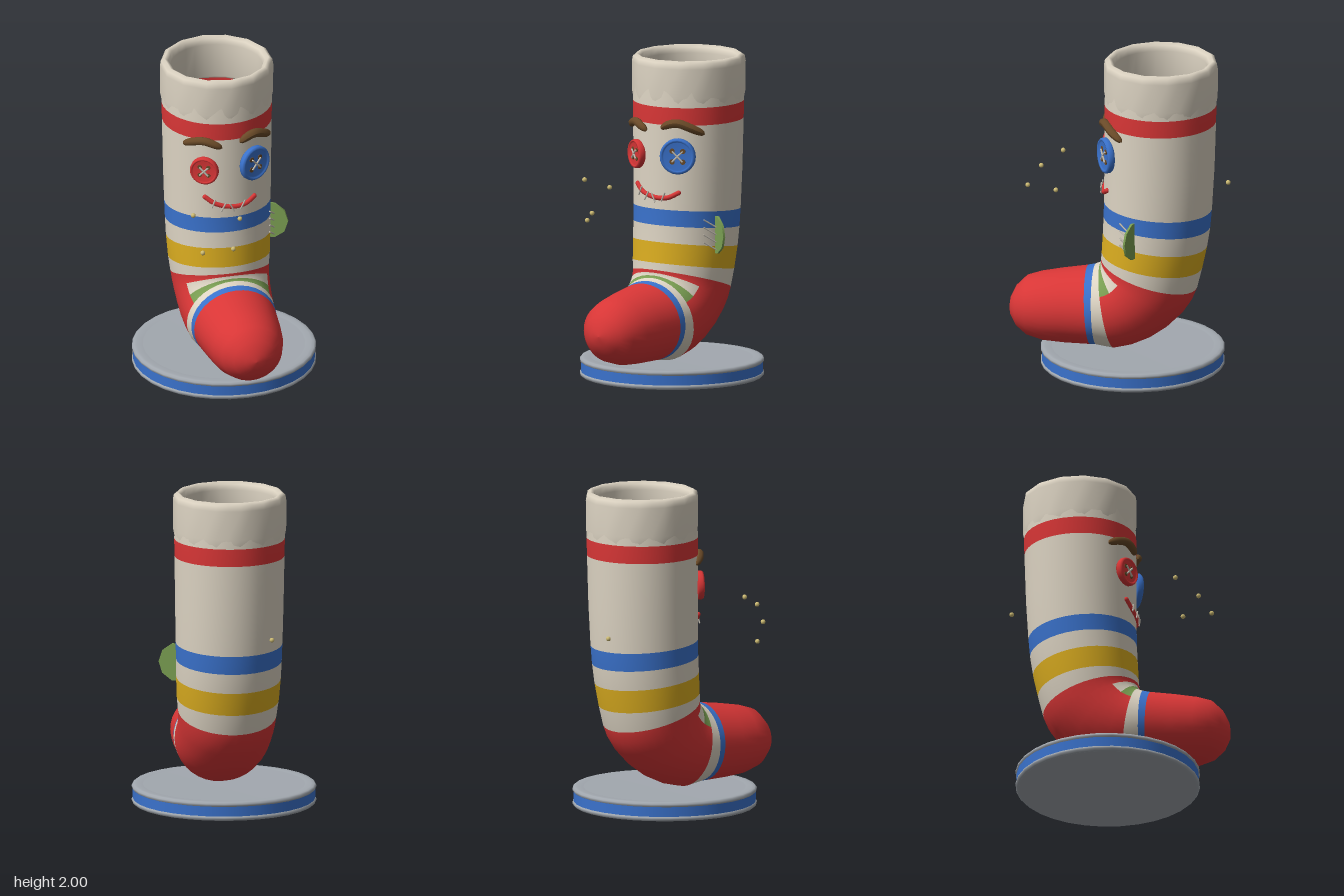
import * as THREE from 'three';

const mat = (name, color, side = THREE.FrontSide) => {
  const m = new THREE.MeshStandardMaterial({ color, side });
  m.name = name;
  return m;
};

export function createModel() {
  const root = new THREE.Group();
  root.name = 'sockPuppet';
  const D = THREE.DoubleSide;
  const cream = mat('cream', 0xddd4c3, D), red = mat('red', 0xd83636, D), blue = mat('blue', 0x3a72cc, D);
  const yellow = mat('yellow', 0xdcae20, D), green = mat('green', 0x7a9e52, D);
  const brown = mat('brown', 0x6a4a28), grey = mat('grey', 0xa2a8af);
  const thread = mat('thread', 0xc4beb2), gold = mat('gold', 0xcdbb74);
  const knit = [cream, red, blue, yellow, green];

  const add = (name, geo, material, parent = root) => {
    const m = new THREE.Mesh(geo, material);
    m.name = name;
    parent.add(m);
    return m;
  };
  const V = (x, y, z) => new THREE.Vector3(x, y, z);

  // Skin over rings [frontZ, frontY, backZ, backY, halfWidth, colour of the band below]
  function loft(rings, segs, pick, bump = () => 1) {
    const pos = [], faces = knit.map(() => []);
    rings.forEach(([fz, fy, bz, by, w], i) => {
      for (let j = 0; j < segs; j++) {
        const t = (j / segs) * Math.PI * 2, k = bump(i, t), c = Math.cos(t) * k;
        pos.push(Math.sin(t) * w * k, (fy + by) / 2 + c * (fy - by) / 2, (fz + bz) / 2 + c * (fz - bz) / 2);
      }
    });
    for (let i = 0; i < rings.length - 1; i++) {
      for (let j = 0; j < segs; j++) {
        const n = (j + 1) % segs, a = i * segs + j, b = i * segs + n;
        faces[pick(i, (j + 0.5) / segs)].push(a, a + segs, b, b, a + segs, b + segs);
      }
    }
    const g = new THREE.BufferGeometry();
    g.setAttribute('position', new THREE.Float32BufferAttribute(pos, 3));
    g.setIndex(faces.flat());
    let start = 0;
    faces.forEach((f, m) => {
      if (f.length) g.addGroup(start, f.length, m);
      start += f.length;
    });
    g.computeVertexNormals();
    return g;
  }

  // Sock leg, ankle bend and foot; rows flagged 1 at the end turn red around the heel
  const C = 0, R = 1, B = 2, Y = 3, G = 4;
  const rings = [
    [0.075, 1.9, -0.605, 1.9, 0.335, C],
    [0.085, 1.71, -0.61, 1.71, 0.342, R],
    [0.085, 1.6, -0.607, 1.6, 0.34, C],
    [0.085, 1.3, -0.597, 1.28, 0.335, C],
    [0.088, 1.07, -0.582, 1.025, 0.33, B],
    [0.09, 0.97, -0.572, 0.91, 0.327, C],
    [0.095, 0.865, -0.553, 0.785, 0.324, Y],
    [0.102, 0.735, -0.522, 0.64, 0.316, C],
    [0.106, 0.69, -0.49, 0.51, 0.306, R],
    [0.106, 0.68, -0.46, 0.435, 0.302, R],
    [0.105, 0.672, -0.41, 0.36, 0.298, C, 1],
    [0.106, 0.664, -0.31, 0.26, 0.294, C, 1],
    [0.108, 0.655, -0.21, 0.19, 0.29, G, 1],
    [0.111, 0.648, -0.1, 0.14, 0.285, G, 1],
    [0.115, 0.64, 0.016, 0.112, 0.28, C],
    [0.15, 0.625, 0.127, 0.13, 0.272, B],
    [0.197, 0.615, 0.164, 0.13, 0.265, R],
    [0.35, 0.592, 0.33, 0.133, 0.247, R],
    [0.48, 0.568, 0.46, 0.142, 0.226, R],
    [0.57, 0.54, 0.565, 0.172, 0.193, R],
    [0.635, 0.475, 0.63, 0.225, 0.135, R],
    [0.668, 0.405, 0.667, 0.29, 0.068, R],
    [0.677, 0.347, 0.677, 0.347, 0, R],
  ];
  const heel = (i, u) => (rings[i][6] && u > 1 / 6 && u < 5 / 6 ? R : rings[i][5]);
  add('sock', loft(rings, 36, heel), knit);

  // Thick scalloped cuff, from the inner wall over the rim to the outer wall
  const cuff = [[1.7, 0.33], [1.73, 0.288], [1.95, 0.285], [1.985, 0.295], [2, 0.318],
    [1.985, 0.34], [1.95, 0.346], [1.77, 0.345], [1.71, 0.337]]
    .map(([y, r]) => [-0.265 + r * 1.01, y, -0.265 - r * 1.01, y, r]);
  const scallop = (i, t) => 1 + (i > 2 && i < 8 ? 0.014 : 0.003) * Math.cos(14 * t);
  add('cuff', loft(cuff, 28, () => C, scallop), knit);

  // Round base with two rims and a blue band
  const base = new THREE.Group();
  base.name = 'base';
  base.position.z = -0.09;
  root.add(base);
  const turn = (pts, n = 32) => new THREE.LatheGeometry(pts.map(p => new THREE.Vector2(...p)), n);
  const rim = y => [[0.54, y], [0.56, y], [0.57, y + 0.01], [0.57, y + 0.022], [0.56, y + 0.032], [0.54, y + 0.032]];
  add('lowerRim', turn(rim(0.005)), grey, base);
  add('upperRim', turn([...rim(0.09), [0.505, 0.122], [0.5, 0.118], [0, 0.118]]), grey, base);
  add('underside', turn([[0, 0.003], [0.55, 0.003], [0.55, 0.02]]), grey, base);
  add('blueBand', new THREE.CylinderGeometry(0.564, 0.564, 0.062, 32, 1, true), blue, base).position.y = 0.064;

  // Front of the leg at a given x
  const surf = x => -0.256 + 0.342 * Math.sqrt(1 - (x / 0.337) ** 2);
  const curve = (pts, lift) => new THREE.CatmullRomCurve3(pts.map(([x, y]) => V(x, y, surf(x) + lift)));
  const rod = (name, a, b, r, material, parent) => {
    const m = add(name, new THREE.CylinderGeometry(r, r, a.distanceTo(b), 6), material, parent);
    m.position.copy(a).add(b).multiplyScalar(0.5);
    m.quaternion.setFromUnitVectors(V(0, 1, 0), b.clone().sub(a).normalize());
    return m;
  };

  // Button eyes with four holes and a crossed thread
  function button(name, x, y, r, material) {
    const g = new THREE.Group();
    g.name = name;
    g.position.set(x, y, surf(x));
    g.rotation.y = Math.asin(x / 0.34);
    root.add(g);
    const disc = turn([[0, -0.012], [r * 0.92, -0.012], [r, 0], [r, 0.022], [r * 0.93, 0.033],
      [r * 0.83, 0.031], [r * 0.78, 0.022], [0, 0.022]], 24);
    add('disc', disc.rotateX(Math.PI / 2), material, g);
    const h = r * 0.3;
    for (const sx of [-1, 1]) {
      for (const sy of [-1, 1]) {
        const hole = add('hole', new THREE.CylinderGeometry(r * 0.15, r * 0.15, 0.006, 10), brown, g);
        hole.rotation.x = Math.PI / 2;
        hole.position.set(sx * h, sy * h, 0.023);
      }
      rod('crossStitch', V(-h, -h * sx, 0.031), V(h, h * sx, 0.031), 0.006, thread, g);
    }
  }
  button('rightEye', -0.16, 1.395, 0.09, red);
  button('leftEye', 0.15, 1.41, 0.112, blue);

  // Eyebrows: arched tubes tapering to rounded ends
  function brow(name, pts, r) {
    const c = curve(pts, 0.012), n = 24, g = new THREE.TubeGeometry(c, n, r, 10);
    const p = g.attributes.position, v = V(0, 0, 0);
    for (let i = 0; i < p.count; i++) {
      const u = Math.floor(i / 11) / n, o = c.getPointAt(u);
      const k = Math.pow(Math.max(0, 1 - Math.abs(2 * u - 1) ** 4), 0.5);
      v.fromBufferAttribute(p, i).sub(o).multiplyScalar(k).add(o);
      p.setXYZ(i, v.x, v.y, v.z);
    }
    g.computeVertexNormals();
    add(name, g, brown);
  }
  brow('rightBrow', [[-0.275, 1.55], [-0.225, 1.582], [-0.165, 1.595], [-0.11, 1.577], [-0.06, 1.553]], 0.026);
  brow('leftBrow', [[0.048, 1.578], [0.1, 1.606], [0.155, 1.615], [0.22, 1.587], [0.28, 1.545]], 0.028);

  // Smile with rounded ends and thread stitches
  const smile = curve([[-0.16, 1.21], [-0.1, 1.168], [0, 1.143], [0.09, 1.147], [0.155, 1.18]], 0.004);
  add('mouth', new THREE.TubeGeometry(smile, 24, 0.015, 8), red);
  for (const u of [0, 1]) add('mouthEnd', new THREE.SphereGeometry(0.015, 10, 8), red).position.copy(smile.getPoint(u));
  [[-0.115, 0.012], [-0.055, 0.016], [0.0, -0.014], [0.07, 0.014]].forEach(([x, lean]) => {
    const y = 1.143 + 2.2 * x * x, z = surf(x) + 0.02;
    rod('mouthStitch', V(x - lean, y - 0.028, z), V(x + lean, y + 0.028, z), 0.005, thread);
  });

  // Green patch standing out of the side, sewn on with slanted threads
  const patch = new THREE.Group();
  patch.name = 'sidePatch';
  patch.position.set(0.3, 0.91, -0.135);
  patch.rotation.y = -0.47;
  root.add(patch);
  const plate = new THREE.CylinderGeometry(0.122, 0.122, 0.014, 10).rotateY(Math.PI / 10).rotateX(Math.PI / 2);
  add('patch', plate, green, patch);
  for (let i = 0; i < 4; i++) {
    const y = 0.84 + i * 0.047;
    rod('patchStitch', V(0.28, y + 0.03, -0.04), V(0.325, y - 0.02, -0.108), 0.005, thread);
  }

  // Floating beads
  [[-0.325, 1.26, 0.38], [-0.055, 1.253, 0.485], [-0.122, 1.097, 0.577], [-0.275, 1.015, 0.42], [-0.187, 1.14, -0.662]]
    .forEach(p => add('bead', new THREE.SphereGeometry(0.015, 10, 8), gold).position.set(...p));

  return root;
}
